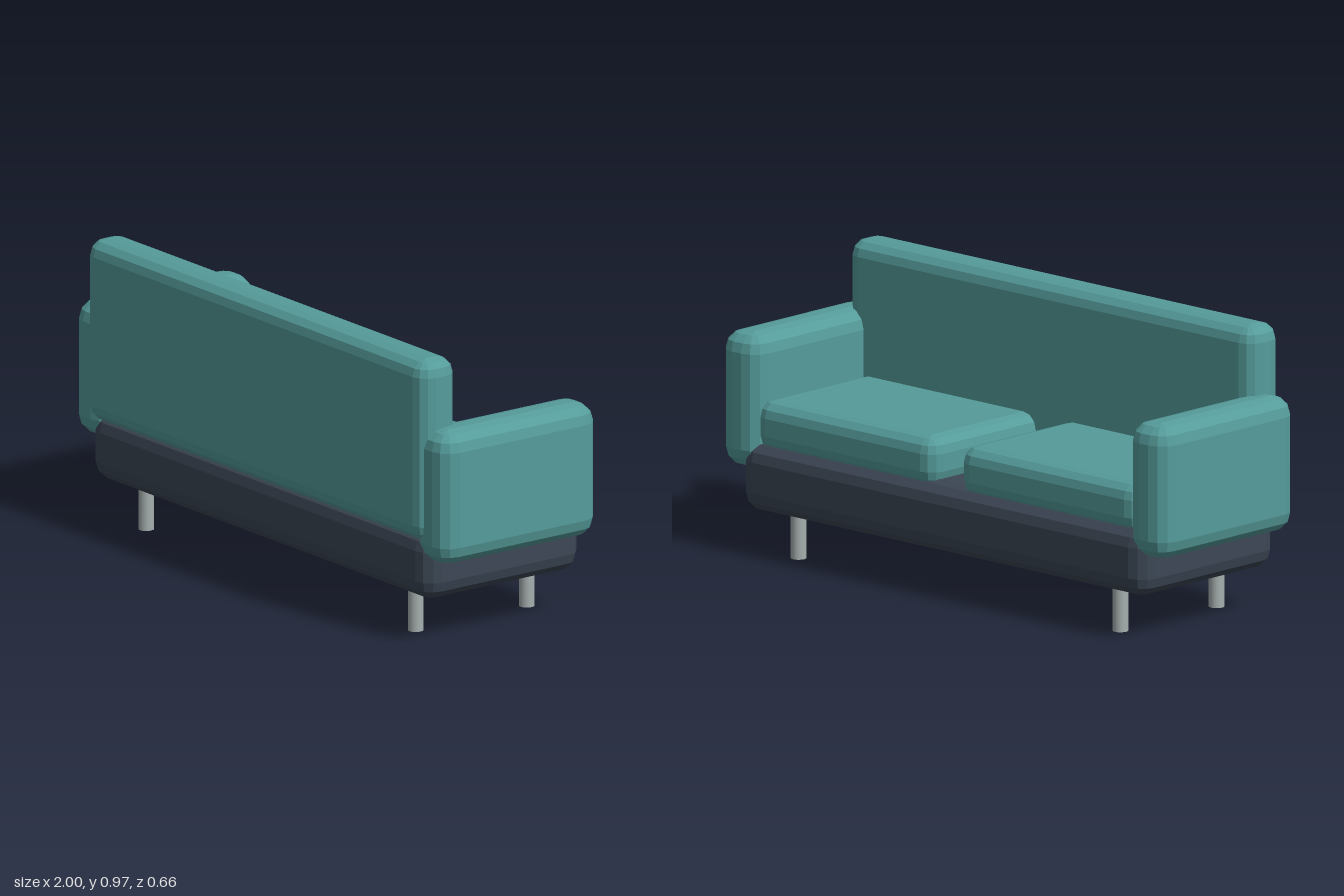
import * as THREE from 'three';
import { ConvexGeometry } from 'three/addons/geometries/ConvexGeometry.js';

// Box with faceted round edges: the hull of an eighth of a sphere at each corner
function roundedBox(w, h, d, r, steps = 3) {
  const points = [];
  for (const sx of [-1, 1]) for (const sy of [-1, 1]) for (const sz of [-1, 1]) {
    for (let i = 0; i <= steps; i++) {
      const lift = (i / steps) * Math.PI / 2;
      const turns = i === steps ? 0 : steps;
      for (let j = 0; j <= turns; j++) {
        const turn = (j / steps) * Math.PI / 2;
        points.push(new THREE.Vector3(
          sx * (w / 2 - r + r * Math.cos(lift) * Math.cos(turn)),
          sy * (h / 2 - r + r * Math.sin(lift)),
          sz * (d / 2 - r + r * Math.cos(lift) * Math.sin(turn))));
      }
    }
  }
  return new ConvexGeometry(points);
}

export function createModel() {
  const sofa = new THREE.Group();
  sofa.name = 'sofa';

  const material = (name, color) => {
    const m = new THREE.MeshStandardMaterial({ color });
    m.name = name;
    return m;
  };
  const teal = material('tealFabric', 0x559c9b);
  const navy = material('darkFabric', 0x3c4755);
  const steel = material('legMetal', 0xa6afaf);

  // Padded block spanning the given [min, max] range on each axis
  const pad = (name, mat, [x0, x1], [y0, y1], [z0, z1], radius) => {
    const mesh = new THREE.Mesh(roundedBox(x1 - x0, y1 - y0, z1 - z0, radius), mat);
    mesh.name = name;
    mesh.position.set((x0 + x1) / 2, (y0 + y1) / 2, (z0 + z1) / 2);
    sofa.add(mesh);
  };

  // Base and backrest; the seat opens towards -z
  pad('base', navy, [-0.91, 0.91], [0.146, 0.38], [-0.332, 0.314], 0.065);
  pad('backrest', teal, [-0.91, 0.91], [0.35, 0.967], [0.181, 0.332], 0.055);

  for (const side of [1, -1]) {
    const label = side > 0 ? 'left' : 'right';
    const span = (a, b) => (side > 0 ? [a, b] : [-b, -a]);

    // Armrest and seat cushion
    pad(label + 'Armrest', teal, span(0.828, 1), [0.284, 0.738], [-0.332, 0.314], 0.065);
    pad(label + 'Cushion', teal, span(0.055, 0.86), [0.35, 0.52], [-0.31, 0.24], 0.055);

    // Legs
    for (const [end, z] of [['Back', 0.217], ['Front', -0.239]]) {
      const leg = new THREE.Mesh(new THREE.CylinderGeometry(0.026, 0.026, 0.18, 16), steel);
      leg.name = label + end + 'Leg';
      leg.position.set(side * 0.722, 0.09, z);
      sofa.add(leg);
    }
  }
  return sofa;
}
